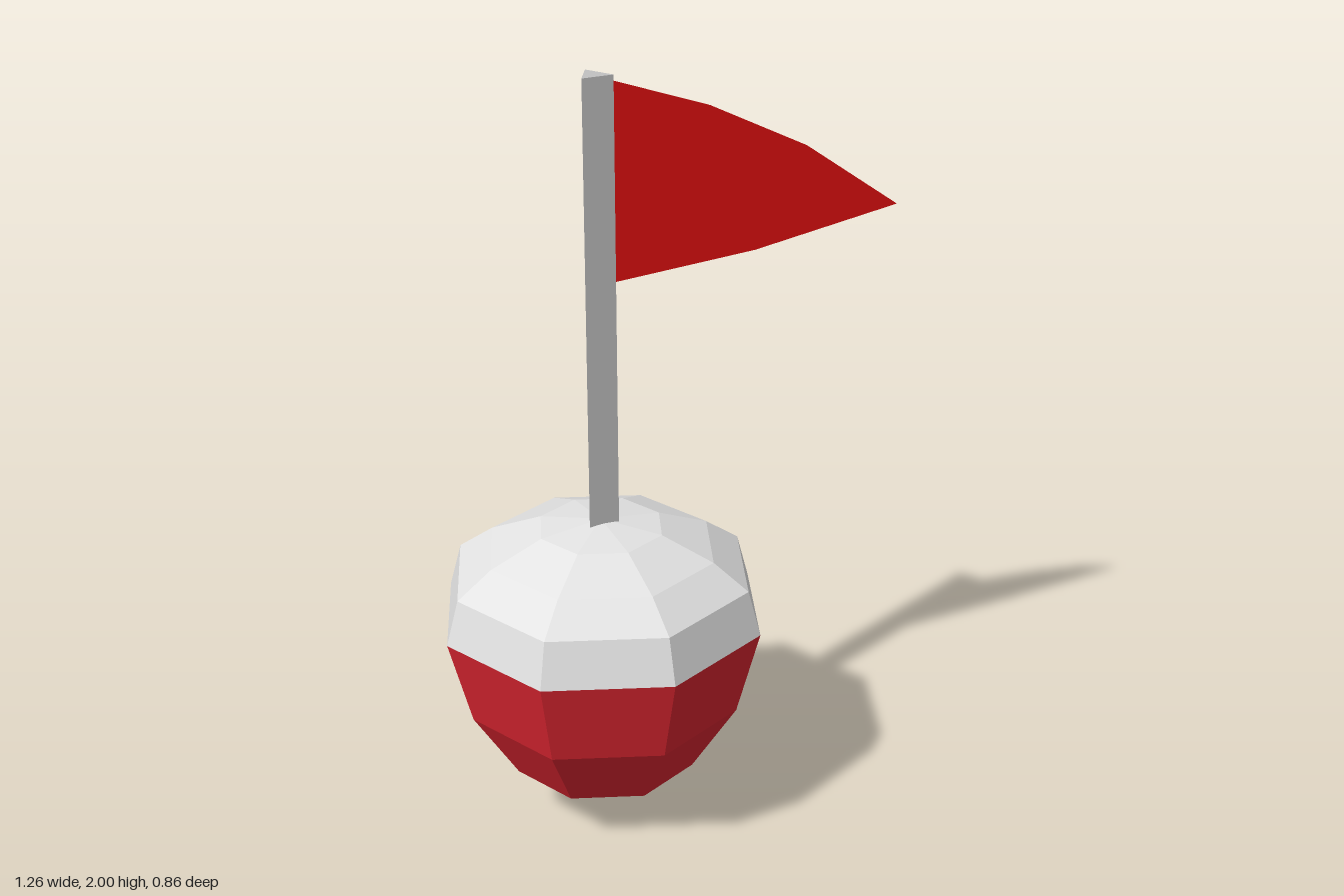
import * as THREE from 'three';

const CENTRE_X = -0.205;

export function createModel() {
  const model = new THREE.Group();
  model.name = 'flagBuoy';

  const material = (name, color, side = THREE.FrontSide) => {
    const m = new THREE.MeshStandardMaterial({ color, side, flatShading: true });
    m.name = name;
    return m;
  };
  const red = material('buoy red', 0xd92530);
  const white = material('buoy white', 0xe3e3e3);
  const grey = material('pole grey', 0xc1c1c1);
  const flagRed = material('flag red', 0xe61111, THREE.DoubleSide);

  const add = (name, geometry, mat, x, y, z) => {
    const mesh = new THREE.Mesh(geometry, mat);
    mesh.name = name;
    mesh.position.set(x, y, z);
    model.add(mesh);
  };

  // Eight-sided float: red hull and white cap, profiles as [radius, height]
  const lathe = (profile) =>
    new THREE.LatheGeometry(profile.map(([r, y]) => new THREE.Vector2(r, y)), 8);
  add('hull', lathe([[0, 0], [0.248, 0.155], [0.368, 0.35], [0.429, 0.585]]), red, CENTRE_X, 0, 0);
  add('cap', lathe([[0.429, 0.585], [0.396, 0.705], [0.303, 0.772], [0.165, 0.828], [0, 0.848]]),
    white, CENTRE_X, 0, 0);

  // Three-sided pole, one flat face to the front
  add('pole', new THREE.CylinderGeometry(0.047, 0.047, 1.2, 3, 1, false, Math.PI), grey, CENTRE_X, 1.4, 0);

  // Pennant: a single flat sheet set into the pole
  const outline = [
    [-0.2, 1.99], [-0.165, 1.985], [0.09, 1.895], [0.36, 1.76],
    [0.63, 1.57], [0.22, 1.51], [-0.165, 1.488], [-0.2, 1.486],
  ].map(([x, y]) => new THREE.Vector2(x, y));
  add('flag', new THREE.ShapeGeometry(new THREE.Shape(outline)), flagRed, 0, 0, 0.018);

  return model;
}
